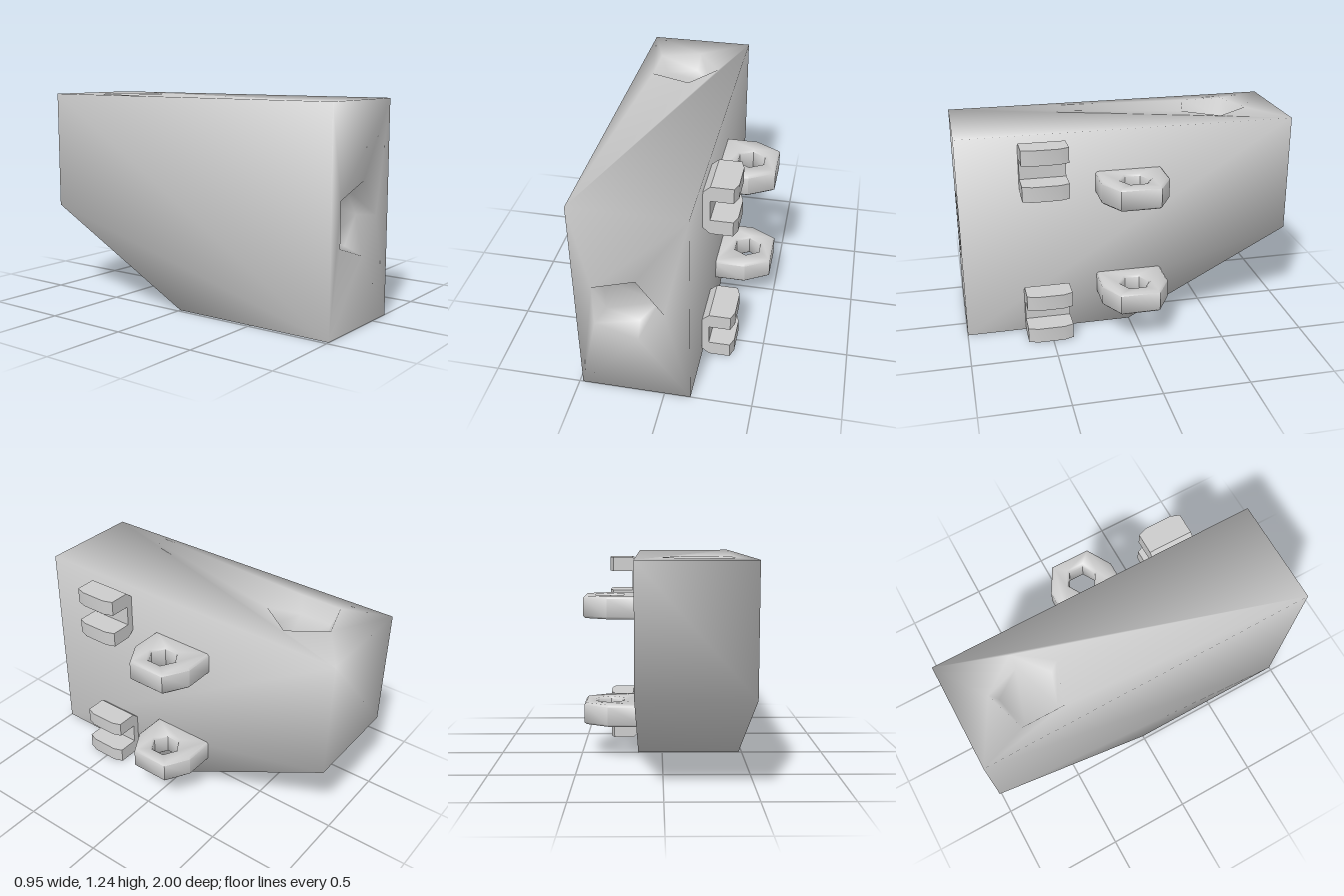
import * as THREE from 'three';
import { mergeVertices, toCreasedNormals } from 'three/addons/utils/BufferGeometryUtils.js';

const V2 = (a) => a.map(([x, y]) => new THREE.Vector2(x, y));
const LEFT = 0.15, RIGHT = -0.48, TOP = 1.24;

// Regular polygon loop around a centre
function ring(cx, cy, r, n, start = 0) {
  return Array.from({ length: n }, (_, i) => {
    const t = start + (i / n) * Math.PI * 2;
    return [cx + r * Math.cos(t), cy + r * Math.sin(t)];
  });
}

// Chunky slab with a sloped underside and two tapered pentagonal sockets
function bodyGeometry() {
  const pos = [];
  const tri = (a, b, c, out) => {
    const n = b.clone().sub(a).cross(c.clone().sub(a));
    for (const p of n.dot(out) >= 0 ? [a, b, c] : [a, c, b]) pos.push(p.x, p.y, p.z);
  };
  const face = (outer, holes, place, out) => {
    const all = [outer, ...holes].flat();
    const pts = all.map(([u, v]) => place(u, v));
    for (const [a, b, c] of THREE.ShapeUtils.triangulateShape(V2(outer), holes.map(V2))) {
      tri(pts[a], pts[b], pts[c], out);
    }
  };
  const profile = [[1, 0], [1, TOP], [-1, TOP], [-1, 0.53], [0, 0]]; // z, y
  const middle = new THREE.Vector3(-0.165, 0.7, 0.1);

  // Side walls
  for (const x of [LEFT, RIGHT]) {
    face(profile, [], (z, y) => new THREE.Vector3(x, y, z), new THREE.Vector3(x === LEFT ? 1 : -1, 0, 0));
  }
  // Back, slope and underside
  for (let i = 2; i < 5; i++) {
    const [p, q] = [profile[i], profile[(i + 1) % 5]];
    const c = [[LEFT, p], [RIGHT, p], [RIGHT, q], [LEFT, q]].map(([x, [z, y]]) => new THREE.Vector3(x, y, z));
    const out = c[0].clone().add(c[2]).multiplyScalar(0.5).sub(middle);
    tri(c[0], c[1], c[2], out);
    tri(c[0], c[2], c[3], out);
  }
  // Front and top, each with a socket
  const socketed = (v0, v1, vc, place, out) => {
    const lip = ring(-0.205, vc, 0.216, 5);
    const floor = ring(-0.205, vc, 0.168, 5);
    face([[RIGHT, v0], [LEFT, v0], [LEFT, v1], [RIGHT, v1]], [lip], (u, v) => place(u, v, 0), out);
    face(floor, [], (u, v) => place(u, v, 0.1), out);
    const centre = place(-0.205, vc, 0.05);
    lip.forEach((_, i) => {
      const j = (i + 1) % 5;
      const a = place(...lip[i], 0), b = place(...lip[j], 0);
      const c = place(...floor[j], 0.1), d = place(...floor[i], 0.1);
      const inward = centre.clone().sub(a.clone().add(c).multiplyScalar(0.5));
      tri(a, b, c, inward);
      tri(a, c, d, inward);
    });
  };
  socketed(0, TOP, 0.602, (x, y, d) => new THREE.Vector3(x, y, 1 - d), new THREE.Vector3(0, 0, 1));
  socketed(-1, 1, -0.6, (x, z, d) => new THREE.Vector3(x, TOP - d, z), new THREE.Vector3(0, 1, 0));

  // Shared corners give the soft shading across the faces
  let g = new THREE.BufferGeometry();
  g.setAttribute('position', new THREE.Float32BufferAttribute(pos, 3));
  g = mergeVertices(g, 1e-4);
  g.computeVertexNormals();
  return g;
}

// Outline in plan (x, z), raised from y = 0
function plate(outline, height, hole, bevel = 0) {
  const s = new THREE.Shape(V2(outline));
  if (hole) s.holes.push(new THREE.Path(V2(hole)));
  const g = new THREE.ExtrudeGeometry(s, {
    depth: height - 2 * bevel, bevelEnabled: bevel > 0, bevelSize: bevel,
    bevelThickness: bevel, bevelOffset: -bevel, bevelSegments: 1,
  });
  g.translate(0, 0, bevel);
  g.rotateX(-Math.PI / 2);
  return toCreasedNormals(g, 0.9);
}

export function createModel() {
  const grey = new THREE.MeshStandardMaterial({ color: 0xcccccc });
  grey.name = 'plain grey';
  const model = new THREE.Group();
  model.name = 'hingedBlock';
  const add = (parent, name, g, x = 0, y = 0, z = 0) => {
    const m = new THREE.Mesh(g, grey);
    m.name = name;
    m.position.set(x, y, z);
    parent.add(m);
  };

  add(model, 'body', bodyGeometry());

  // Hinge parts, one set low and one set high on the left side
  const lug = plate(
    [[0.13, -0.2], [0.33, -0.2], [0.475, -0.117], [0.475, 0.117], [0.33, 0.2], [0.13, 0.2]],
    0.134, ring(0.32, 0, 0.087, 6, Math.PI / 6), 0.012);
  const prong = plate(
    [[0.19, -0.135], [0.315, -0.135], [0.335, -0.08], [0.335, 0.08], [0.315, 0.135], [0.19, 0.135]], 0.09);
  const backplate = new THREE.ExtrudeGeometry(
    new THREE.Shape(V2([[0.15, 0.036], [0.19, 0], [0.19, 0.303], [0.15, 0.267]])),
    { depth: 0.27, bevelEnabled: false });

  for (const [label, y] of [['lower', 0], ['upper', 0.652]]) {
    add(model, label + 'HingeLug', lug, 0, y + 0.208, 0);
    const clevis = new THREE.Group();
    clevis.name = label + 'HingeClevis';
    clevis.position.set(0, label === 'lower' ? 0.005 : 0.905, 0.512);
    add(clevis, 'backplate', backplate, 0, 0, -0.135);
    add(clevis, 'bottomProng', prong);
    add(clevis, 'topProng', prong, 0, 0.213, 0);
    model.add(clevis);
  }
  return model;
}
